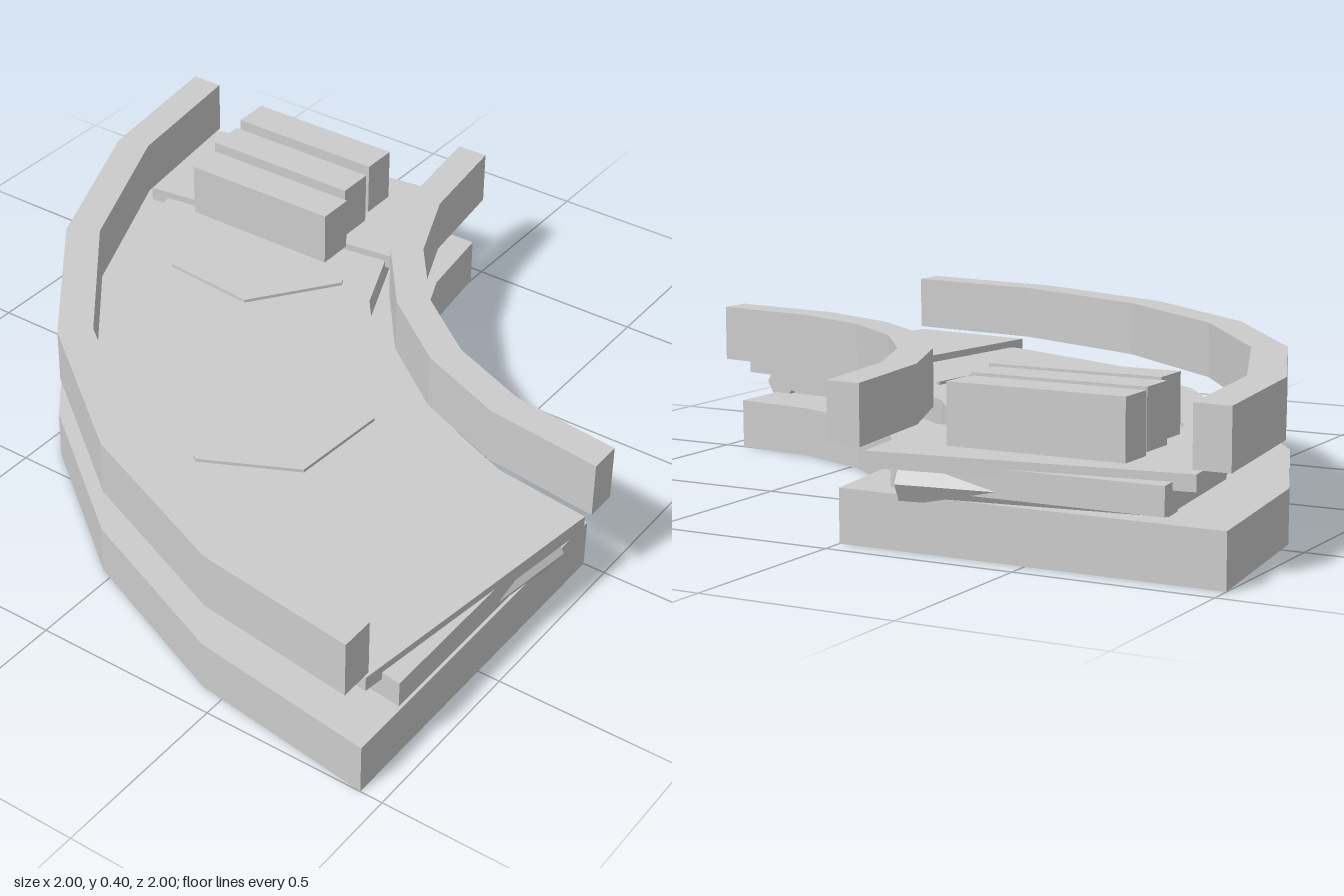
import * as THREE from 'three';

const material = new THREE.MeshStandardMaterial({ color: 0xcccccc, flatShading: true });
const CX = 0.94, CZ = -0.94; // centre of the bend
const STEP = Math.PI / 12;

function add(parent, name, geometry) {
  const mesh = new THREE.Mesh(geometry, material);
  mesh.name = name;
  parent.add(mesh);
  return mesh;
}

// Extrude a plan outline of [x, z] points between two heights
function slab(points, y0, y1) {
  const shape = new THREE.Shape(points.map(([x, z]) => new THREE.Vector2(x, -z)));
  const g = new THREE.ExtrudeGeometry(shape, { depth: y1 - y0, bevelEnabled: false });
  return g.rotateX(-Math.PI / 2).translate(0, y0, 0);
}

// Point at a radius and angle of the bend
const polar = (r, a) => [CX - r * Math.cos(a), CZ + r * Math.sin(a)];

// Quarter-turn polyline; both ends are moved along their segment by "inset"
function arc(r, inset) {
  const points = [];
  for (let i = 0; i <= 6; i++) points.push(polar(r, i * STEP));
  const side = r - inset * Math.tan(STEP / 2);
  points[0] = [CX - side, CZ + inset];
  points[6] = [CX - inset, CZ + side];
  return points;
}

const band = (r0, r1, y0, y1, inset = 0) =>
  slab([...arc(r1, inset), ...arc(r0, inset).reverse()], y0, y1);

// Box between radii r0..r1 and tangential positions t0..t1
function radialBox(r0, r1, y0, y1, t0, t1) {
  return new THREE.BoxGeometry(r1 - r0, y1 - y0, t1 - t0)
    .translate(-(r0 + r1) / 2, (y0 + y1) / 2, (t0 + t1) / 2);
}

export function createModel() {
  const model = new THREE.Group();
  model.name = 'curvedConveyor';

  add(model, 'base', band(0.94, 1.94, 0, 0.135));
  add(model, 'belt', band(1.084, 1.79, 0.15, 0.22));
  add(model, 'outerRail', band(1.836, 1.93, 0.25, 0.4, 0.06));
  add(model, 'innerRail', band(0.94, 1.03, 0.25, 0.4, -0.06));

  // End plates with their rollers and supports
  for (const [name, angle, s] of [['start', STEP / 2, 1], ['end', STEP * 5.5, -1]]) {
    const end = new THREE.Group();
    end.name = name + 'Section';
    end.position.set(CX, 0, CZ);
    end.rotation.y = angle;
    const span = (a, b) => (s > 0 ? [a, b] : [-b, -a]);
    add(end, 'plate', radialBox(1.027, 1.83, 0.2, 0.24, ...span(-0.18, 0.21)));
    add(end, 'support', radialBox(1.12, 1.7, 0.13, 0.155, ...span(-0.1, 0.12)));
    const roller = new THREE.CylinderGeometry(0.05, 0.05, 0.66, 6)
      .rotateZ(Math.PI / 2).translate(-1.43, 0.165, -0.128 * s);
    add(end, 'roller', roller);
    model.add(end);
  }

  // Direction chevrons on the belt
  for (const a of [26, 58]) {
    const at = (r, deg) => polar(r, THREE.MathUtils.degToRad(deg));
    add(model, 'chevron', slab([
      at(1.66, a), at(1.43, a + 5.8), at(1.17, a + 0.5),
      at(1.17, a - 0.4), at(1.43, a + 5), at(1.66, a - 0.7),
    ], 0.215, 0.229));
  }

  // Row of crates
  for (const [x, z] of [[-0.48, -0.805], [-0.46, -0.655], [-0.425, -0.508]]) {
    add(model, 'crate', new THREE.BoxGeometry(0.465, 0.152, 0.106)).position.set(x, 0.32, z);
  }

  return model;
}
